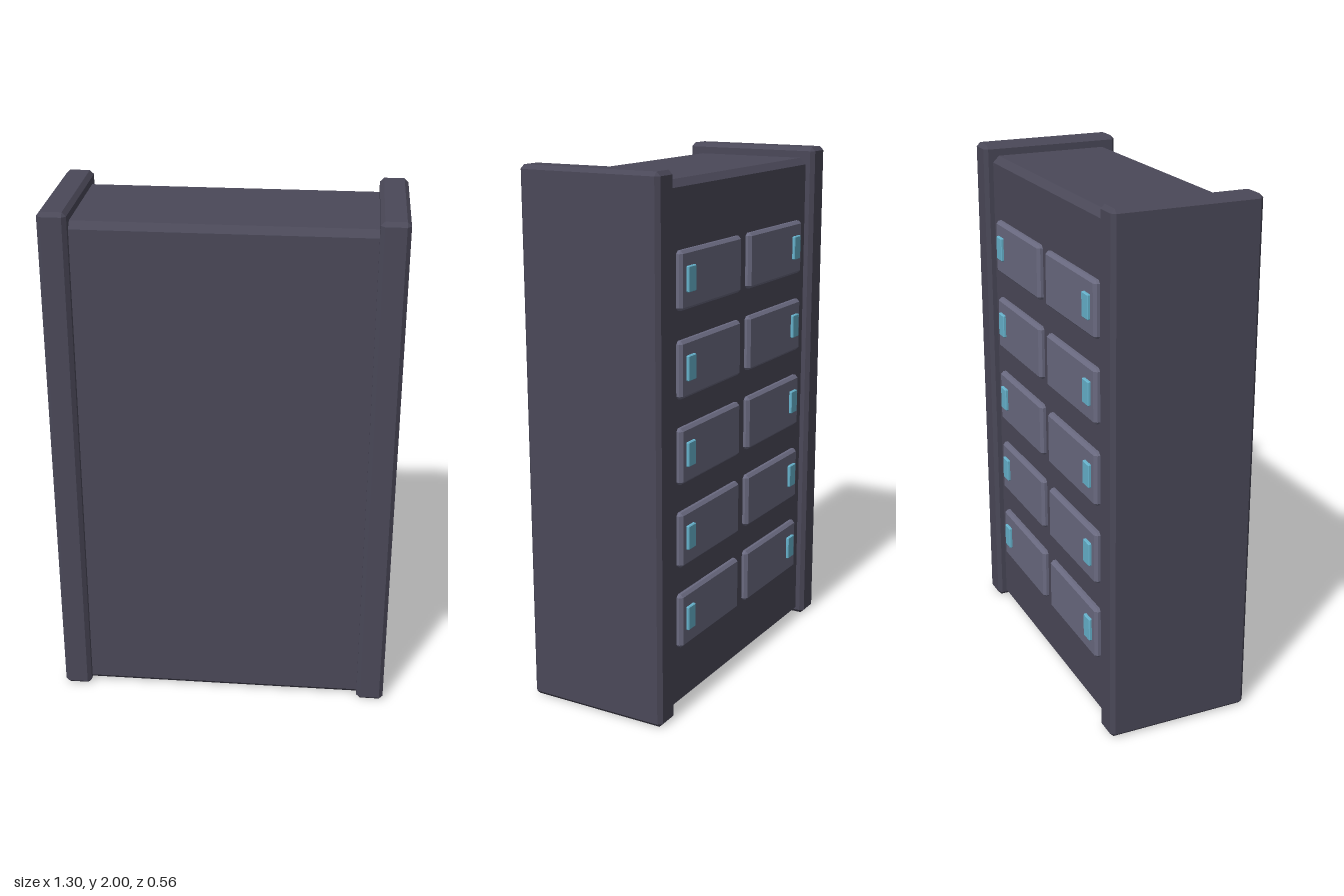
import * as THREE from 'three';
import { ConvexGeometry } from 'three/addons/geometries/ConvexGeometry.js';

// Box with all twelve edges chamfered by c
function chamferBox(w, h, d, c) {
  const half = [w / 2, h / 2, d / 2];
  const points = [];
  for (const sx of [-1, 1]) for (const sy of [-1, 1]) for (const sz of [-1, 1]) {
    for (let axis = 0; axis < 3; axis++) {
      const p = half.map((v, i) => (i === axis ? v : v - c));
      points.push(new THREE.Vector3(sx * p[0], sy * p[1], sz * p[2]));
    }
  }
  return new ConvexGeometry(points);
}

export function createModel() {
  const group = new THREE.Group();
  const casing = new THREE.MeshStandardMaterial({ color: 0x4a4858 });
  casing.name = 'darkCasing';
  const panel = new THREE.MeshStandardMaterial({ color: 0x6a6a80 });
  panel.name = 'greyPanel';
  const glow = new THREE.MeshStandardMaterial({ color: 0x66b2cc });
  glow.name = 'blueLight';

  const add = (name, geometry, material, x, y, z) => {
    const mesh = new THREE.Mesh(geometry, material);
    mesh.name = name;
    mesh.position.set(x, y, z);
    group.add(mesh);
  };

  // Main cabinet
  add('cabinetBody', chamferBox(1.17, 1.958, 0.496, 0.025), casing, 0, 0.979, 0);

  const sideGeo = chamferBox(0.106, 2, 0.564, 0.015);
  const drawerGeo = chamferBox(0.444, 0.21, 0.044, 0.011);
  const lightGeo = chamferBox(0.053, 0.092, 0.024, 0.003);

  for (const side of [-1, 1]) {
    const label = side > 0 ? 'left' : 'right';
    // Side slabs standing proud of the body
    add(`${label}SidePanel`, sideGeo, casing, side * 0.595, 1, 0);

    // Five drawers per column on the back, each with a status light
    for (let row = 0; row < 5; row++) {
      const y = 0.35 + row * 0.316;
      add(`${label}Drawer${row + 1}`, drawerGeo, panel, side * 0.255, y, -0.248);
      add(`${label}Light${row + 1}`, lightGeo, glow, side * 0.417, y + 0.004, -0.269);
    }
  }
  return group;
}
